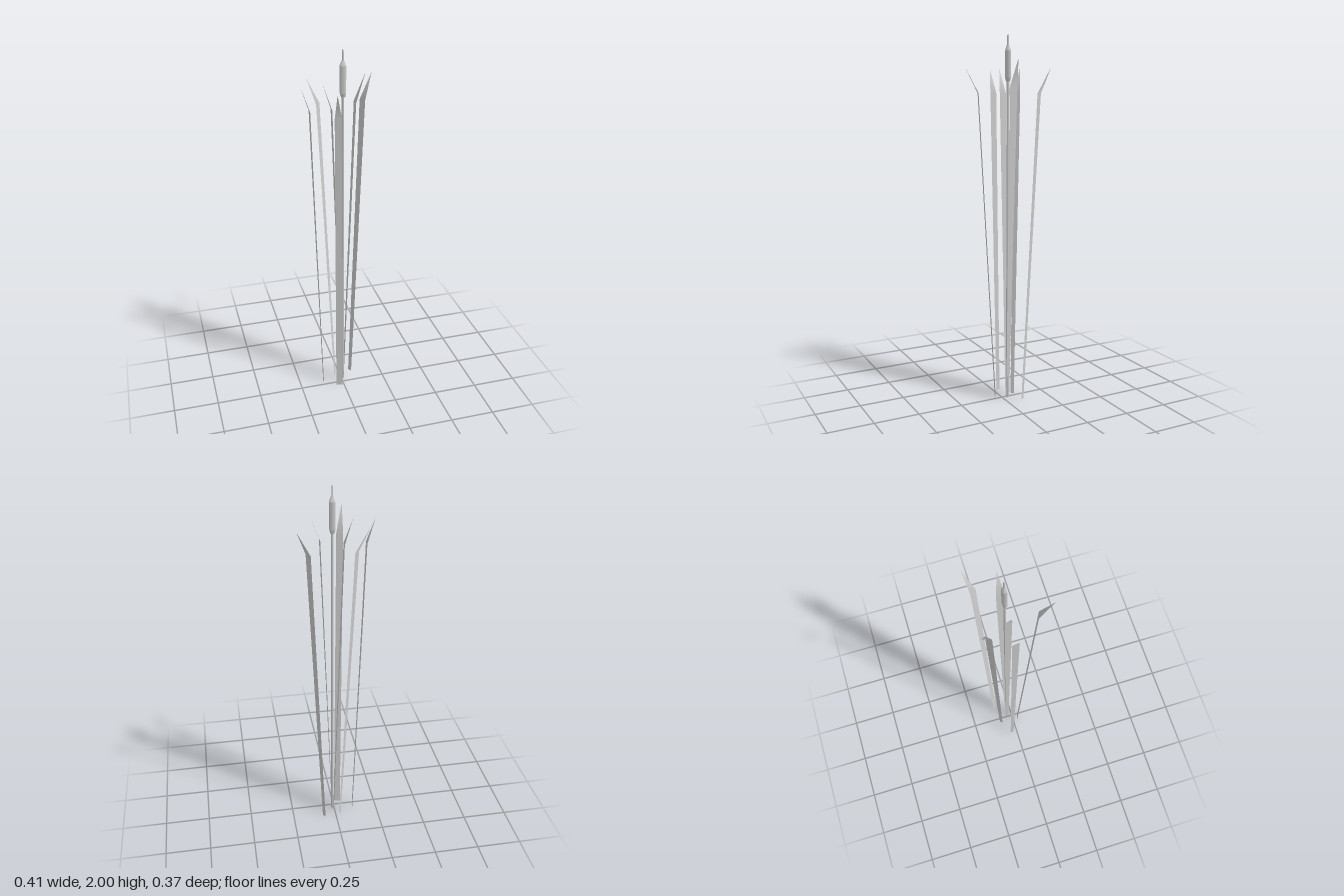
import * as THREE from 'three';

const leafMaterial = new THREE.MeshStandardMaterial({ color: 0xcccccc, side: THREE.DoubleSide });
const stemMaterial = new THREE.MeshStandardMaterial({ color: 0xcccccc });

// Flat leaf: a strip from base to bend, then a triangle to the tip.
// base, bend, tip are [x, y, z]; each half-width runs across the leaf's outward direction.
function leaf(name, base, bend, tip, baseHalf, bendHalf) {
  const [b, m, t] = [base, bend, tip].map((p) => new THREE.Vector3(...p));
  const across = new THREE.Vector3(m.z - b.z, 0, b.x - m.x).normalize();
  const edge = (p, w) => p.clone().addScaledVector(across, w);
  const points = [
    edge(b, -baseHalf), edge(b, baseHalf),
    edge(m, -bendHalf), edge(m, bendHalf), t,
  ];
  const geometry = new THREE.BufferGeometry().setFromPoints(points);
  geometry.setIndex([0, 1, 3, 0, 3, 2, 2, 3, 4]);
  geometry.computeVertexNormals();
  const mesh = new THREE.Mesh(geometry, leafMaterial);
  mesh.name = name;
  return mesh;
}

// Four-sided post with its sides square to the axes
function post(name, topWidth, bottomWidth, y0, y1, depthScale = 1) {
  const geometry = new THREE.CylinderGeometry(topWidth / Math.SQRT2, bottomWidth / Math.SQRT2, y1 - y0, 4);
  geometry.rotateY(Math.PI / 4);
  geometry.scale(1, 1, depthScale);
  const mesh = new THREE.Mesh(geometry, stemMaterial);
  mesh.name = name;
  mesh.position.y = (y0 + y1) / 2;
  return mesh;
}

export function createModel() {
  const group = new THREE.Group();
  group.name = 'reedPlant';

  // Stalk with its seed head
  const stalk = new THREE.Group();
  stalk.name = 'stalk';
  stalk.position.set(0.01, 0, -0.031);
  stalk.add(
    post('stem', 0.01, 0.013, 0, 1.77),
    post('headBottom', 0.028, 0.018, 1.76, 1.78, 0.75),
    post('headBody', 0.028, 0.028, 1.78, 1.92, 0.75),
    post('headTop', 0.012, 0.028, 1.92, 1.947, 0.75),
    post('spike', 0.006, 0.007, 1.94, 2),
  );
  group.add(stalk);

  // Leaves spreading outward around the stalk
  group.add(
    leaf('backRightLeaf', [-0.027, 0, -0.08], [-0.094, 1.7, -0.14], [-0.146, 1.835, -0.186], 0.0095, 0.0185),
    leaf('backLeftLeaf', [0.0705, 0, -0.094], [0.1465, 1.7, -0.143], [0.206, 1.835, -0.179], 0.012, 0.019),
    leaf('outerRightLeaf', [-0.111, 0, -0.031], [-0.164, 1.7, -0.031], [-0.207, 1.83, -0.031], 0.01, 0.018),
    leaf('innerRightLeaf', [0.003, 0, -0.031], [-0.05, 1.7, -0.031], [-0.093, 1.83, -0.031], 0.01, 0.018),
    leaf('leftLeaf', [0.012, 0, -0.031], [0.073, 1.73, -0.031], [0.127, 1.88, -0.031], 0.009, 0.0225),
    leaf('frontLeaf', [-0.028, 0, 0.0285], [-0.0535, 1.7, 0.1135], [-0.075, 1.84, 0.18], 0.018, 0.018),
  );
  return group;
}
